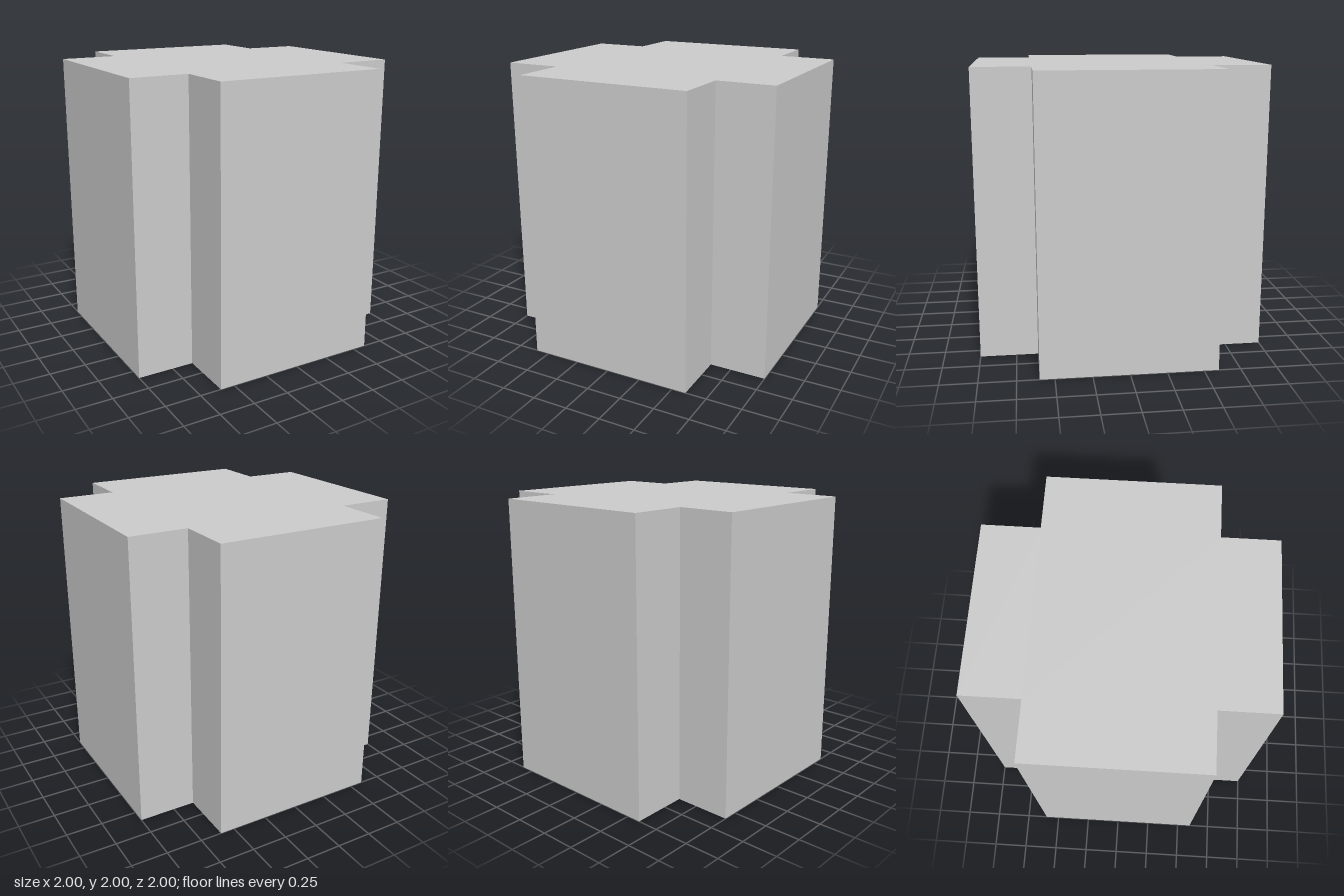
import * as THREE from 'three';

const HALF = 1;    // half the overall width and depth
const ARM = 0.6;   // half the width of each arm
const HEIGHT = 2;

// Plus-shaped outline, counter-clockwise
function crossShape() {
  const points = [];
  for (let i = 0; i < 4; i++) {
    for (const [x, y] of [[HALF, -ARM], [HALF, ARM], [ARM, ARM]]) {
      points.push(new THREE.Vector2(x, y).rotateAround(new THREE.Vector2(), i * Math.PI / 2));
    }
  }
  return new THREE.Shape(points);
}

export function createModel() {
  const group = new THREE.Group();
  group.name = 'crossPrism';

  // Cross-section extruded and stood upright
  const geometry = new THREE.ExtrudeGeometry(crossShape(), { depth: HEIGHT, bevelEnabled: false });
  geometry.rotateX(-Math.PI / 2);

  const column = new THREE.Mesh(geometry, new THREE.MeshStandardMaterial({ color: 0xcccccc }));
  column.name = 'crossColumn';
  group.add(column);
  return group;
}
